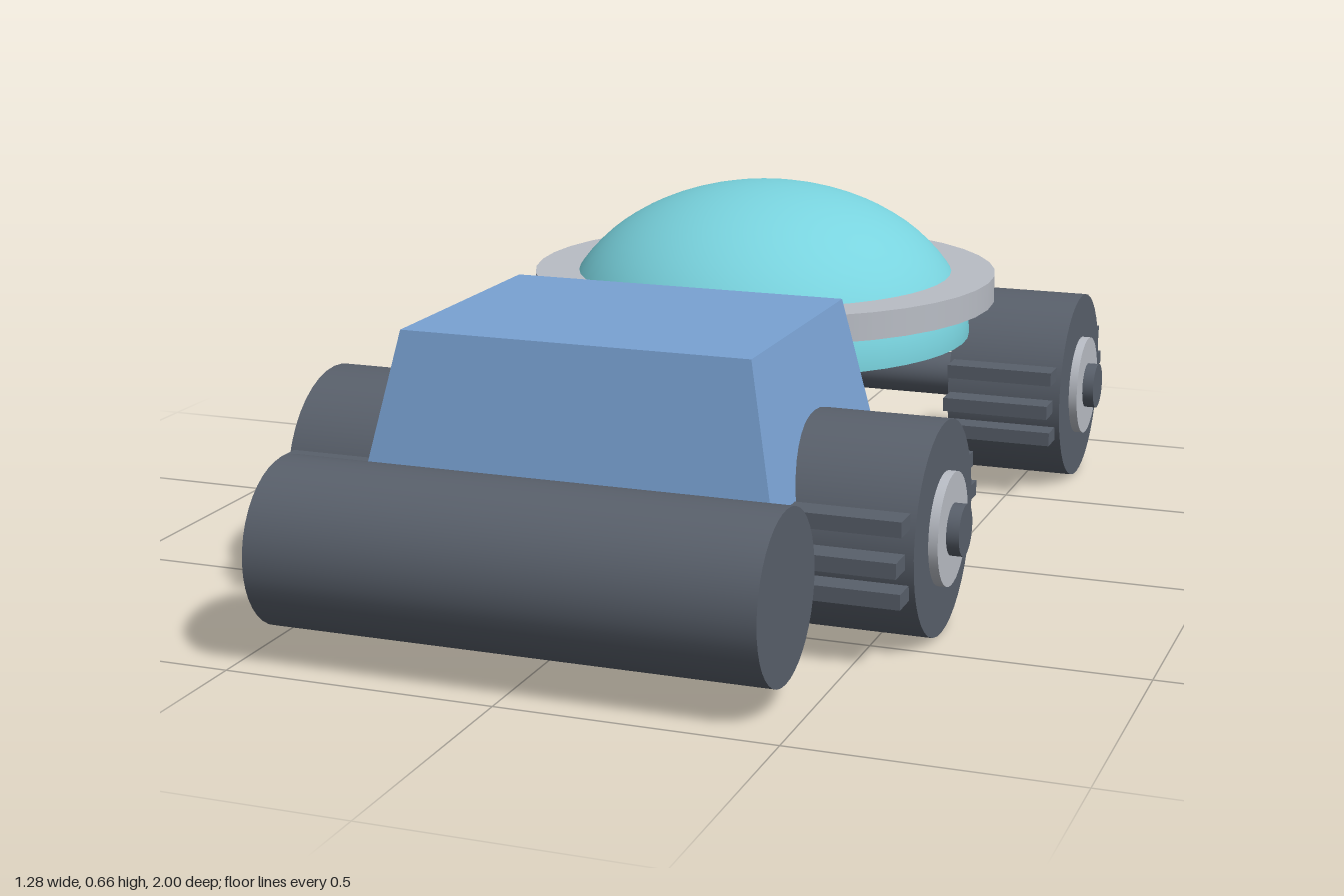
import * as THREE from 'three';

const mat = (name, color) => {
  const m = new THREE.MeshStandardMaterial({ color });
  m.name = name;
  return m;
};

export function createModel() {
  const model = new THREE.Group();
  model.name = 'rover';
  const dark = mat('dark grey', 0x59606b);
  const silver = mat('silver grey', 0xb9bdc5);
  const blue = mat('blue', 0x79a2d3);
  const teal = mat('teal', 0x79d3de);
  teal.side = THREE.DoubleSide;

  const add = (parent, name, geo, material, x = 0, y = 0, z = 0) => {
    const mesh = new THREE.Mesh(geo, material);
    mesh.name = name;
    mesh.position.set(x, y, z);
    parent.add(mesh);
    return mesh;
  };
  // Cylinder lying along x
  const rod = (r, length) => new THREE.CylinderGeometry(r, r, length, 40).rotateZ(Math.PI / 2);

  // Front roller
  add(model, 'frontRoller', rod(0.15, 0.92), dark, 0, 0.2, 0.85);

  // Cab: a box whose top is drawn in
  const cab = new THREE.BoxGeometry(0.78, 0.297, 0.625);
  const p = cab.attributes.position;
  for (let i = 0; i < p.count; i++) {
    if (p.getY(i) > 0) {
      p.setX(i, Math.sign(p.getX(i)) * 0.328);
      p.setZ(i, Math.sign(p.getZ(i)) * 0.258);
    }
  }
  cab.computeVertexNormals();
  add(model, 'cab', cab, blue, 0, 0.3935, 0.39);

  // Open-bottomed dome through a solid rim disc
  const dome = new THREE.SphereGeometry(1, 48, 20, 0, Math.PI * 2, 0, Math.PI / 2);
  dome.scale(0.427, 0.31, 0.427);
  add(model, 'dome', dome, teal, 0, 0.35, -0.387);
  add(model, 'domeRim', new THREE.CylinderGeometry(0.478, 0.478, 0.055, 40), silver, 0, 0.4525, -0.387);

  // Axles with wheels, hubs and tread bars
  for (const [name, z] of [['frontAxle', 0.39], ['rearAxle', -0.73]]) {
    const axle = new THREE.Group();
    axle.name = name;
    axle.position.set(0, 0.2, z);
    model.add(axle);
    add(axle, 'axleRod', rod(0.047, 1.28), dark);

    const joint = new THREE.SphereGeometry(1, 20, 12).scale(0.07, 0.04, 0.04);
    add(axle, 'axleJoint', joint, silver, 0, -0.012, -0.012);

    for (const side of [-1, 1]) {
      const wheel = new THREE.Group();
      wheel.name = side > 0 ? 'leftWheel' : 'rightWheel';
      wheel.position.x = side * 0.48;
      axle.add(wheel);
      add(wheel, 'tyre', rod(0.195, 0.24), dark);
      add(wheel, 'hub', rod(0.103, 0.04), silver, side * 0.117);
      for (const end of [-1, 1]) {
        for (const row of [-1, 0, 1]) {
          const reach = row === 0 ? 0.242 : 0.212;
          add(wheel, 'treadBar', new THREE.BoxGeometry(0.22, 0.028, 0.056), dark, 0, row * 0.064, end * reach);
        }
      }
    }
  }
  return model;
}
